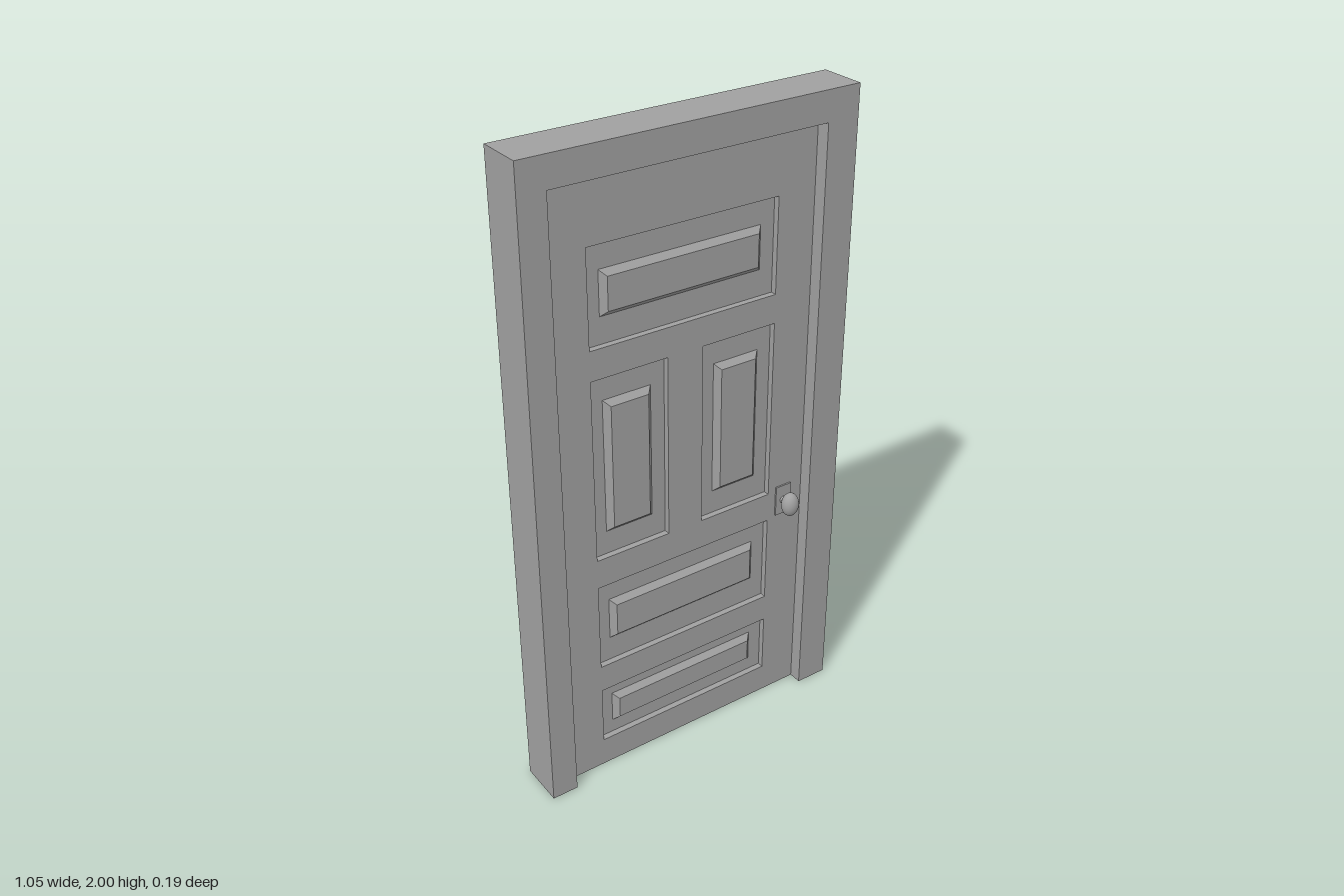
import * as THREE from 'three';

const grey = new THREE.MeshStandardMaterial({ color: 0xa0a0a0 });
grey.name = 'doorGrey';

const FRAME_Z = 0.072; // half depth of the frame
const DOOR_Z = 0.03;   // half depth of the door leaf
const CORE_Z = 0.011;  // half depth of the sunken panels
const OPENING = [-0.44, 0.42, 0, 1.91];

// Each panel: sunken field and raised centre, as [x0, x1, y0, y1]
const PANELS = [
  { field: [-0.315, 0.295, 1.43, 1.72], raised: [-0.27, 0.25, 1.51, 1.643] },
  { field: [-0.315, -0.07, 0.765, 1.34], raised: [-0.27, -0.115, 0.84, 1.263] },
  { field: [0.047, 0.295, 0.765, 1.34], raised: [0.097, 0.25, 0.84, 1.263] },
  { field: [-0.315, 0.295, 0.38, 0.67], raised: [-0.27, 0.25, 0.46, 0.6] },
  { field: [-0.315, 0.295, 0.095, 0.29], raised: [-0.27, 0.25, 0.14, 0.245] },
];

function add(parent, name, geometry) {
  const mesh = new THREE.Mesh(geometry, grey);
  mesh.name = name;
  parent.add(mesh);
  return mesh;
}

function trace(path, [x0, x1, y0, y1]) {
  path.moveTo(x0, y0);
  path.lineTo(x1, y0);
  path.lineTo(x1, y1);
  path.lineTo(x0, y1);
  path.closePath();
  return path;
}

function extrude(shape, depth) {
  return new THREE.ExtrudeGeometry(shape, { depth, bevelEnabled: false });
}

// Block whose front edges slope inwards
function raisedPanel([x0, x1, y0, y1], height, slope) {
  const w = x1 - x0, h = y1 - y0;
  const geometry = new THREE.BoxGeometry(w, h, height);
  const p = geometry.attributes.position;
  for (let i = 0; i < p.count; i++) {
    if (p.getZ(i) > 0) {
      p.setX(i, p.getX(i) * (1 - 2 * slope / w));
      p.setY(i, p.getY(i) * (1 - 2 * slope / h));
    }
  }
  geometry.computeVertexNormals();
  geometry.translate((x0 + x1) / 2, (y0 + y1) / 2, CORE_Z + height / 2);
  return geometry;
}

// One face of the door: panelling, lock plate and knob
function doorFace(side) {
  const group = new THREE.Group();
  group.name = side > 0 ? 'frontFace' : 'backFace';

  const panelling = trace(new THREE.Shape(), OPENING);
  for (const { field } of PANELS) panelling.holes.push(trace(new THREE.Path(), field));
  add(group, 'panelling', extrude(panelling, DOOR_Z - CORE_Z)).position.z = CORE_Z;

  for (const { raised } of PANELS) add(group, 'raisedPanel', raisedPanel(raised, 0.017, 0.017));

  add(group, 'lockPlate', new THREE.BoxGeometry(0.055, 0.1, 0.006)).position.set(0.35, 0.73, DOOR_Z + 0.002);

  const stem = add(group, 'knobStem', new THREE.CylinderGeometry(0.012, 0.012, 0.04, 16));
  stem.rotation.x = Math.PI / 2;
  stem.position.set(0.35, 0.73, DOOR_Z + 0.02);

  const knob = add(group, 'knob', new THREE.SphereGeometry(1, 24, 16));
  knob.scale.set(0.028, 0.039, 0.026);
  knob.position.set(0.35, 0.73, 0.069);
  return group;
}

// Swap sides along z while keeping faces outward
function mirrorZ(group) {
  group.traverse((o) => {
    if (!o.isMesh) return;
    o.updateMatrix();
    const g = o.geometry.index ? o.geometry.toNonIndexed() : o.geometry;
    g.applyMatrix4(o.matrix);
    g.scale(1, 1, -1);
    for (const key of ['position', 'normal', 'uv']) {
      const a = g.attributes[key], n = a.itemSize;
      for (let i = 0; i < a.count; i += 3) {
        for (let k = 0; k < n; k++) {
          const b = (i + 1) * n + k, c = (i + 2) * n + k;
          [a.array[b], a.array[c]] = [a.array[c], a.array[b]];
        }
      }
    }
    o.geometry = g;
    o.position.set(0, 0, 0);
    o.rotation.set(0, 0, 0);
    o.scale.set(1, 1, 1);
  });
  return group;
}

export function createModel() {
  const model = new THREE.Group();
  model.name = 'panelledDoor';

  // Frame: two jambs and a head, open at the floor
  const [x0, x1, , top] = OPENING;
  const outline = [[-0.523, 0], [x0, 0], [x0, top], [x1, top], [x1, 0], [0.523, 0], [0.523, 2], [-0.523, 2]];
  const frame = new THREE.Shape(outline.map(([x, y]) => new THREE.Vector2(x, y)));
  add(model, 'frame', extrude(frame, 2 * FRAME_Z)).position.z = -FRAME_Z;

  // Door leaf
  const door = new THREE.Group();
  door.name = 'door';
  add(door, 'doorCore', extrude(trace(new THREE.Shape(), OPENING), 2 * CORE_Z)).position.z = -CORE_Z;
  door.add(doorFace(1), mirrorZ(doorFace(-1)));
  model.add(door);
  return model;
}
